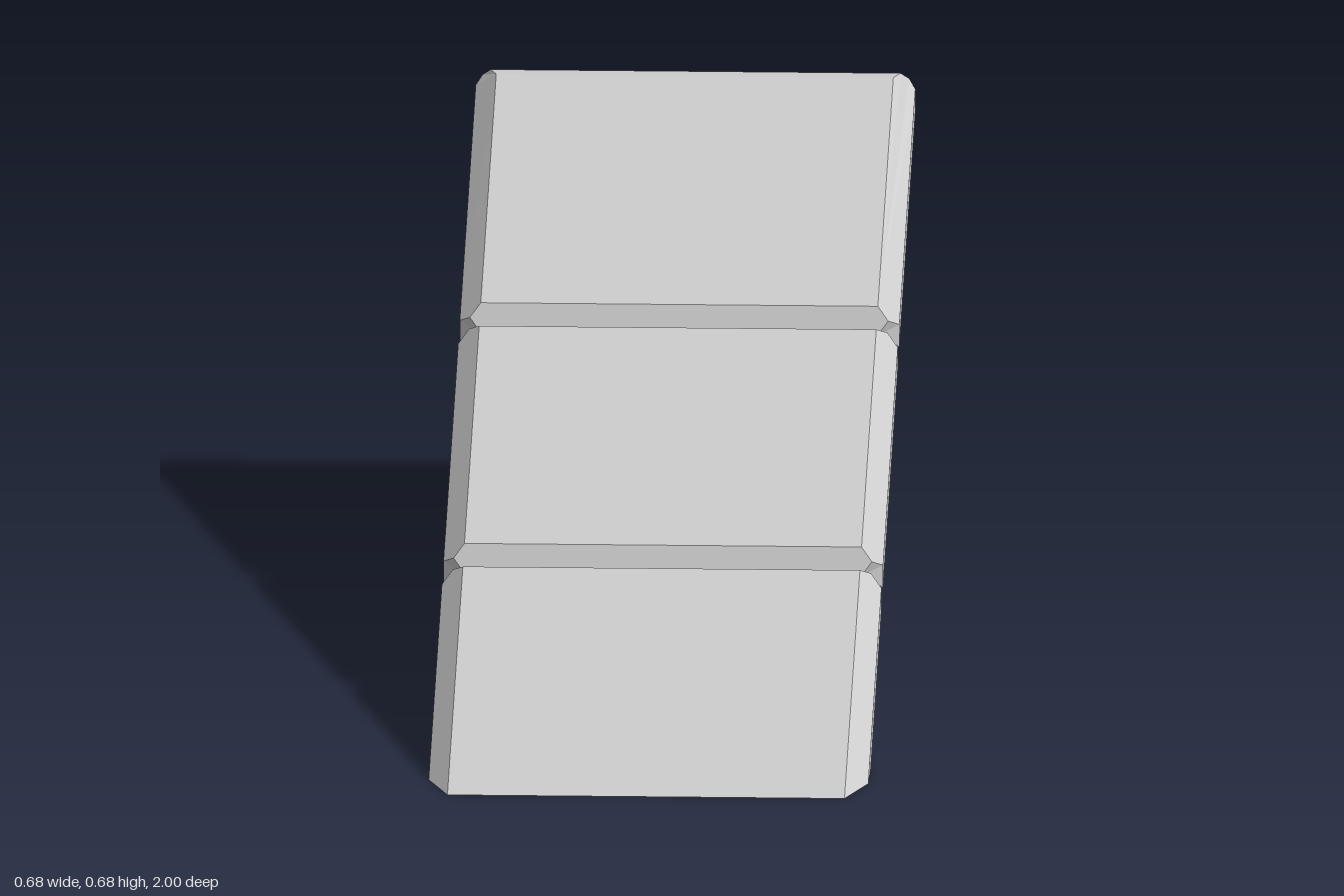
import * as THREE from 'three';

const HALF = 0.341;     // half width at the outer edge
const B = 0.033;        // bevel size
const DROP = 0.035;     // height of the side walls
const SLOPE = Math.atan(0.353);

// Point on the sloped slab: s runs up the slope, t is the height above the outer edge
function onSlope(x, s, t) {
  const c = Math.cos(SLOPE), n = Math.sin(SLOPE);
  return [x, s * n + t * c, 0.9 - s * c + t * n];
}

// Panel end at a groove, dir points into the panel:
// top corner, middle of the mitre, side edge and end ridge
function grooveEnd(s, dir) {
  const upper = {
    top: onSlope(HALF - B, s + dir * B, B),
    mitre: onSlope(HALF - B / 2, s + dir * B / 2, B / 2),
    side: onSlope(HALF, s + dir * B, 0),
    ridge: onSlope(HALF - B, s, 0),
  };
  const lower = {};
  for (const key in upper) {
    const [x, y, z] = upper[key];
    lower[key] = [x, y - DROP, z];
  }
  return { upper, lower };
}

// Foot of the ramp, cut flat by the ground
const foot = {
  upper: { top: [HALF - B, 0, 1], mitre: [HALF - B / 2, 0, 0.95], side: [HALF, 0, 0.9] },
  lower: { top: [HALF - B, 0, 0.9], mitre: [HALF - B / 2, 0, 0.85], side: [HALF, 0, 0.8] },
};

// Upper end, levelled on top, with a ridge across the back
const head = {
  upper: {
    top: [HALF - B, 0.684, -0.937], tip: [0.318, 0.684, -0.967],
    mitre: [0.331, 0.672, -0.982], side: [HALF, 0.659, -0.967], ridge: [HALF - B, 0.652, -1],
  },
  lower: {
    top: [HALF - B, 0.648, -0.937], mitre: [HALF - B / 2, 0.634, -0.952],
    side: [HALF, 0.622, -0.967], ridge: [HALF - B, 0.62, -0.967],
  },
};

const mirror = (pts) => pts.map(([x, y, z]) => [-x, y, z]).reverse();
const span = (pts) => [...pts, ...mirror(pts)];

// Bevelled skin between two ends: top face, side bevels, end bevels, corner cuts
function skin(a, b) {
  const tip = b.tip ?? b.top;
  const across = [span([a.top, b.top])];
  const right = [[a.top, a.mitre, a.side, b.side, b.mitre, tip, b.top]];
  if (b.tip) across.push(span([b.top, b.tip]));
  if (a.ridge) {
    across.push(span([a.ridge, a.mitre, a.top]));
    right.push([a.mitre, a.ridge, a.side]);
  }
  across.push(span([tip, b.mitre, b.ridge]));
  right.push([b.mitre, b.side, b.ridge]);
  return [...across, ...right, ...right.map(mirror)];
}

// Upright walls along the sides and round the cut corners
function walls(a, b) {
  const right = [
    [a.lower.side, b.lower.side, b.upper.side, a.upper.side],
    [b.lower.side, b.lower.ridge, b.upper.ridge, b.upper.side],
  ];
  if (a.upper.ridge) right.push([a.lower.ridge, a.lower.side, a.upper.side, a.upper.ridge]);
  return [...right, ...right.map(mirror)];
}

// Panel with a raised top and a matching hollow underneath
function panel(name, a, b, material, extra = []) {
  const underside = skin(a.lower, b.lower).map((f) => f.reverse());
  const faces = [...skin(a.upper, b.upper), ...underside, ...walls(a, b), ...extra];
  const positions = [];
  for (const f of faces) {
    for (let i = 1; i < f.length - 1; i++) positions.push(...f[0], ...f[i], ...f[i + 1]);
  }
  const geometry = new THREE.BufferGeometry();
  geometry.setAttribute('position', new THREE.Float32BufferAttribute(positions, 3));
  geometry.computeVertexNormals();
  const mesh = new THREE.Mesh(geometry, material);
  mesh.name = name;
  return mesh;
}

export function createModel() {
  const group = new THREE.Group();
  group.name = 'ramp';
  const material = new THREE.MeshStandardMaterial({
    color: 0xcccccc, flatShading: true, side: THREE.DoubleSide,
  });

  const groove1 = 0.59, groove2 = 1.276;
  // Flat plate on the ground under the foot, and the undercut below the back ridge
  const footPlate = span([foot.upper.top, foot.upper.side, foot.lower.side]).reverse();
  const undercut = span([head.upper.ridge, head.lower.ridge]);

  group.add(
    panel('lowerPanel', foot, grooveEnd(groove1, -1), material, [footPlate]),
    panel('middlePanel', grooveEnd(groove1, 1), grooveEnd(groove2, -1), material),
    panel('upperPanel', grooveEnd(groove2, 1), head, material, [undercut]),
  );
  return group;
}
